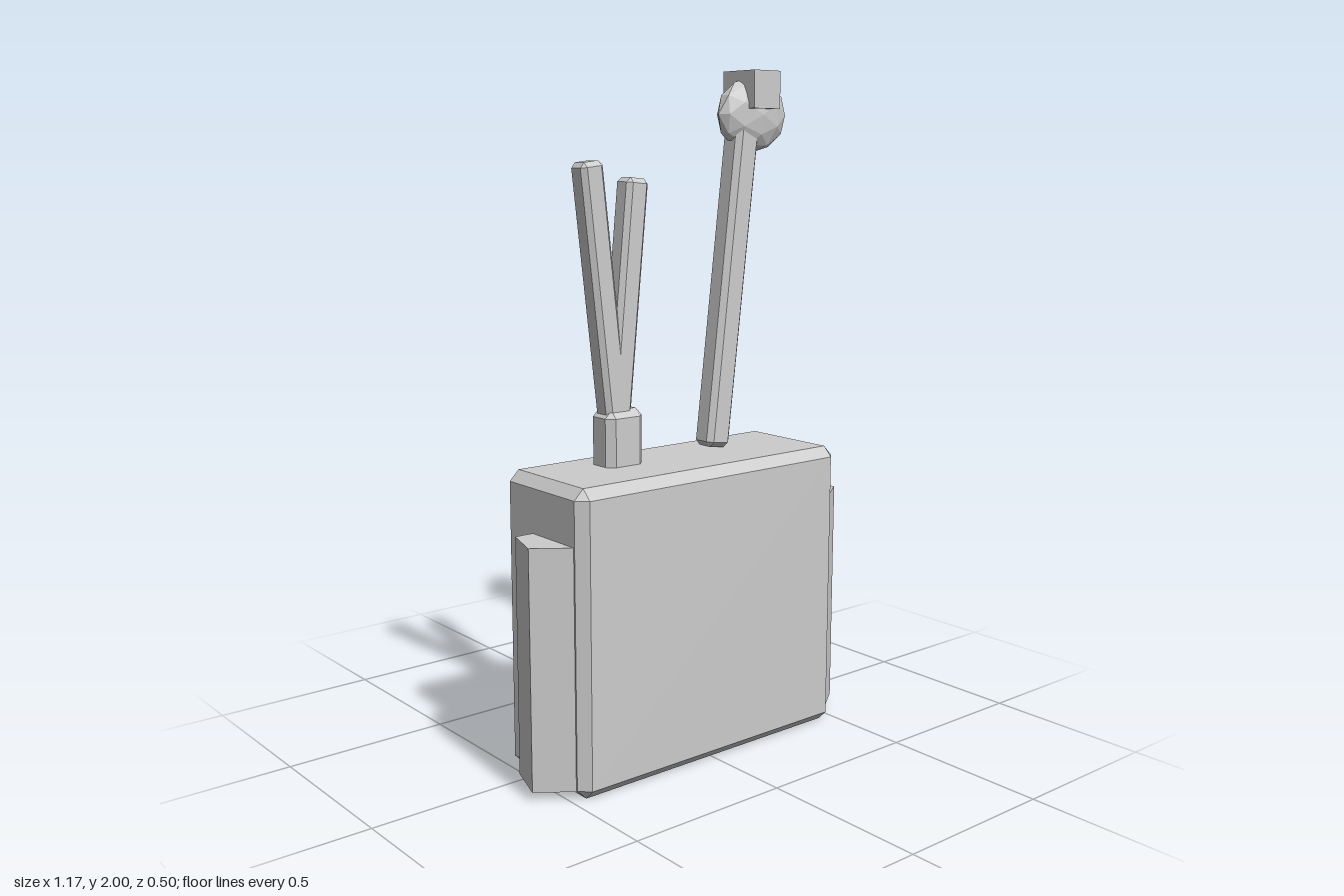
import * as THREE from 'three';
import { ConvexGeometry } from 'three/addons/geometries/ConvexGeometry.js';

// Box with flat chamfers on every edge, centred on the origin
function chamferBox(w, h, d, c) {
  const points = [];
  for (const x of [-1, 1]) for (const y of [-1, 1]) for (const z of [-1, 1]) {
    const [a, b, e] = [w / 2, h / 2, d / 2];
    points.push(
      new THREE.Vector3(x * a, y * (b - c), z * (e - c)),
      new THREE.Vector3(x * (a - c), y * b, z * (e - c)),
      new THREE.Vector3(x * (a - c), y * (b - c), z * e)
    );
  }
  return new ConvexGeometry(points);
}

export function createModel() {
  const model = new THREE.Group();
  model.name = 'backpackWithAntennas';
  const grey = new THREE.MeshStandardMaterial({ color: 0xcccccc, flatShading: true });
  const cyan = new THREE.MeshStandardMaterial({ color: 0x26c6da, flatShading: true });

  function add(name, geometry, x, y, z, material = grey) {
    const mesh = new THREE.Mesh(geometry, material);
    mesh.name = name;
    mesh.position.set(x, y, z);
    model.add(mesh);
    return mesh;
  }

  // Chamfered bar leaning in the xy plane from one end to the other
  function addBar(name, x0, y0, x1, y1, width, depth, z, chamfer) {
    const dx = x1 - x0, dy = y1 - y0;
    const geometry = chamferBox(width, Math.hypot(dx, dy), depth, chamfer);
    const bar = add(name, geometry, (x0 + x1) / 2, (y0 + y1) / 2, z);
    bar.rotation.z = -Math.atan2(dx, dy);
  }

  // Main pack and the raised panel on its back
  add('body', chamferBox(0.97, 0.88, 0.37, 0.03), 0, 0.44, 0.06);
  add('backPanel', chamferBox(0.69, 0.46, 0.092, 0.024), -0.002, 0.443, -0.169);
  add('indicatorLight', new THREE.BoxGeometry(0.09, 0.09, 0.068), 0.276, 0.721, -0.216, cyan);

  // Five-sided pods, half sunk into both sides
  for (const [side, name] of [[1, 'leftPod'], [-1, 'rightPod']]) {
    add(name, new THREE.CylinderGeometry(0.111, 0.111, 0.694, 5), side * 0.477, 0.374, 0.105);
  }

  // Forked antenna
  add('forkBase', chamferBox(0.13, 0.2, 0.102, 0.022), -0.187, 0.942, 0.015);
  addBar('rightProng', -0.196, 0.96, -0.288, 1.737, 0.076, 0.07, 0.015, 0.014);
  addBar('leftProng', -0.2, 0.96, -0.127, 1.691, 0.076, 0.07, 0.015, 0.014);

  // Tall antenna with a flattened faceted head and a block on top
  addBar('tallAntenna', 0.173, 0.885, 0.287, 1.85, 0.088, 0.08, 0.015, 0.016);
  const head = add('antennaHead', new THREE.IcosahedronGeometry(1, 1), 0.322, 1.873, 0.016);
  head.scale.set(0.131, 0.11, 0.054);
  add('headBlock', new THREE.BoxGeometry(0.104, 0.11, 0.137), 0.322, 1.945, 0.016);

  return model;
}
